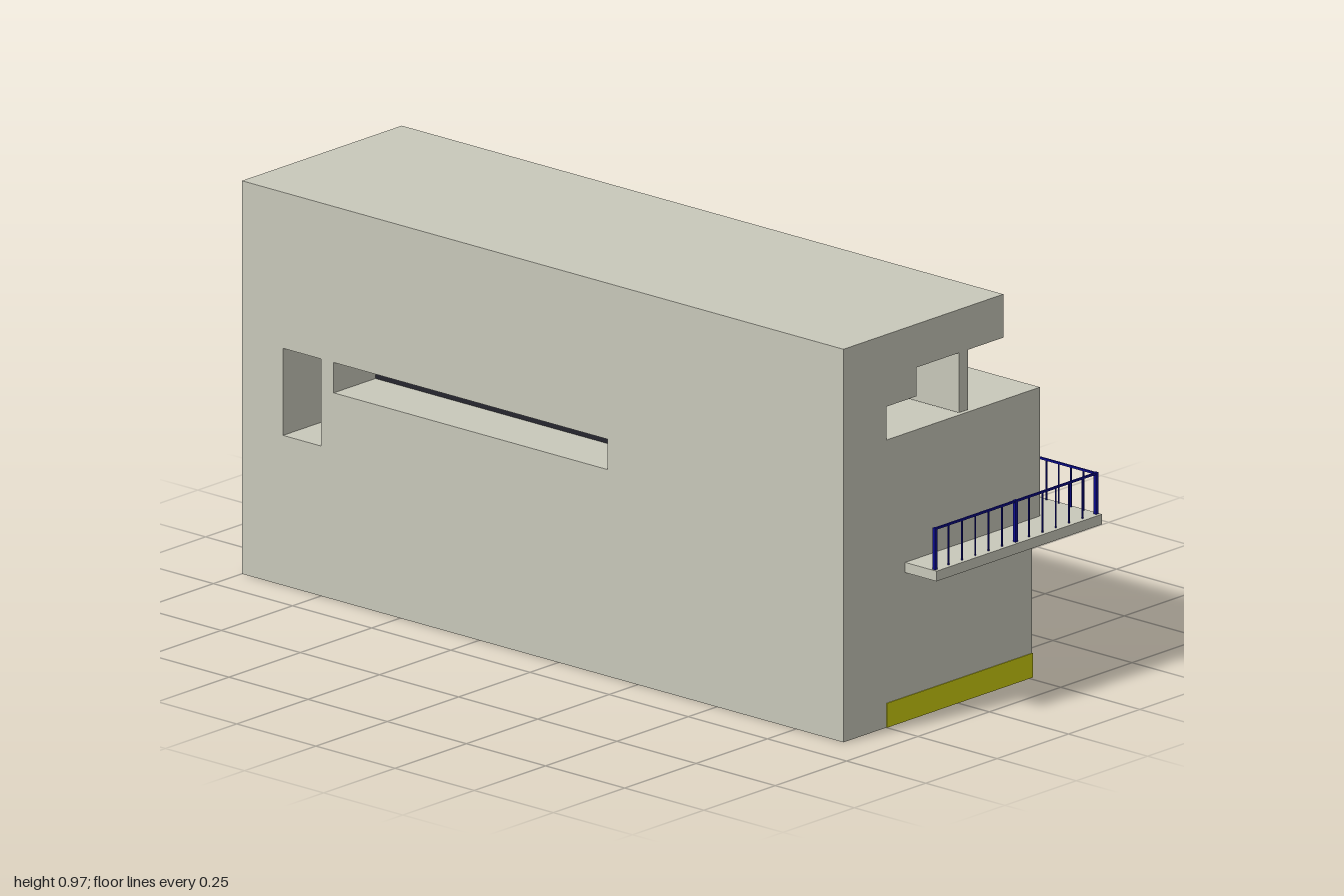
import * as THREE from 'three';

const mat = (color) => new THREE.MeshStandardMaterial({ color });
const concrete = mat(0xc8c8ba), yellow = mat(0xcccc10), navy = mat(0x0c0c90), steel = mat(0x5c6098);
const glass = mat(0x8080cc), frame = mat(0x26262e), doorPaint = mat(0x8c7a8c);

export function createModel() {
  const root = new THREE.Group();

  const add = (parent, name, geo, material) => {
    const m = new THREE.Mesh(geo, material);
    m.name = name;
    parent.add(m);
    return m;
  };
  const group = (name) => {
    const g = new THREE.Group();
    g.name = name;
    root.add(g);
    return g;
  };
  // Box given by its limits on each axis
  const box = (parent, name, material, x0, x1, y0, y1, z0, z1) => {
    const g = new THREE.BoxGeometry(x1 - x0, y1 - y0, z1 - z0);
    g.translate((x0 + x1) / 2, (y0 + y1) / 2, (z0 + z1) / 2);
    return add(parent, name, g, material);
  };
  const shapeOf = (pts, holes = []) => {
    const toV = (p) => p.map(([a, b]) => new THREE.Vector2(a, b));
    const s = new THREE.Shape(toV(pts));
    holes.forEach((h) => s.holes.push(new THREE.Path(toV(h))));
    return s;
  };
  const rect = (a0, a1, b0, b1) => [[a0, b0], [a1, b0], [a1, b1], [a0, b1]];
  // Outline in (x, z), extruded downwards from y1 to y0
  const plan = (parent, name, material, y0, y1, pts, holes) => {
    const g = new THREE.ExtrudeGeometry(shapeOf(pts, holes), { depth: y1 - y0, bevelEnabled: false });
    g.rotateX(Math.PI / 2).translate(0, y1, 0);
    return add(parent, name, g, material);
  };
  // Outline in (z, y), extruded across x0..x1
  const side = (parent, name, material, x0, x1, pts, holes) => {
    const g = new THREE.ExtrudeGeometry(shapeOf(pts, holes), { depth: x1 - x0, bevelEnabled: false });
    g.rotateY(-Math.PI / 2).translate(x1, 0, 0);
    return add(parent, name, g, material);
  };
  // Square bar between two points
  const bar = (parent, name, material, a, b, t) => {
    const p = new THREE.Vector3(...a), q = new THREE.Vector3(...b);
    const m = add(parent, name, new THREE.BoxGeometry(t, t, p.distanceTo(q)), material);
    m.position.copy(p).add(q).multiplyScalar(0.5);
    m.lookAt(q);
    return m;
  };

  // Tall wall with door and window openings, then the stepped roof and its beam
  const shelter = group('shelter');
  side(shelter, 'sideWall', concrete, -0.4, -0.25, rect(-1, 0.9, 0, 0.97),
    [rect(-0.87, -0.75, 0.37, 0.585), rect(-0.71, 0.155, 0.51, 0.585)]);
  box(shelter, 'roofSlab', concrete, -0.25, 0.16, 0.863, 0.97, -1, 0.9);
  box(shelter, 'roofStep', concrete, -0.25, -0.145, 0.792, 0.863, -1, 0.9);
  box(shelter, 'roofBeam', concrete, 0.005, 0.037, 0.715, 0.863, -1, 0.9);
  for (const z of [-0.922, 0.165, 0.345])
    box(shelter, 'roofColumn', concrete, 0.005, 0.037, 0.37, 0.715, z - 0.015, z + 0.015);

  // Lower storey, open underneath
  const lower = group('lowerStorey');
  const outline = [[-0.25, -1], [0.07, -1], [0.07, 0.37], [0.26, 0.37], [0.26, 0.9], [-0.25, 0.9]];
  const inner = [[-0.249, -0.99], [0.06, -0.99], [0.06, 0.38], [0.25, 0.38], [0.25, 0.89], [-0.249, 0.89]];
  plan(lower, 'lowerWalls', concrete, 0, 0.342, outline, [inner]);
  plan(lower, 'deck', concrete, 0.342, 0.37, outline);
  box(lower, 'deckEdge', concrete, 0.07, 0.076, 0.345, 0.37, -1, 0.37);

  // Painted skirting
  const e = 0.002;
  box(lower, 'skirting', yellow, 0.07, 0.07 + e, 0, 0.06, -1, 0.37);
  box(lower, 'skirting', yellow, 0.07, 0.26 + e, 0, 0.06, 0.37 - e, 0.37);
  box(lower, 'skirting', yellow, 0.26, 0.26 + e, 0, 0.06, 0.37, 0.9);
  box(lower, 'skirting', yellow, -0.25, 0.26 + e, 0, 0.06, 0.9, 0.9 + e);

  // Upper room and balcony
  const upper = group('upperStorey');
  box(upper, 'room', concrete, -0.25, 0.287, 0.37, 0.71, 0.59, 0.9 + e / 2);
  plan(upper, 'balconySlab', concrete, 0.367, 0.392,
    [[-0.25, 0.37], [0.395, 0.37], [0.395, 1], [-0.185, 1], [-0.185, 0.9], [-0.25, 0.9]]);

  // Windows and doors, all facing +x
  const makeWindow = (x, y0, y1, z0, z1, panes) => {
    const g = group('window');
    box(g, 'windowFrame', frame, x - 0.004, x + 0.003, y0, y1, z0, z1);
    const w = (z1 - z0) / panes;
    for (let i = 0; i < panes; i++)
      box(g, 'pane', glass, x, x + 0.005, y0 + 0.006, y1 - 0.006, z0 + i * w + 0.003, z0 + (i + 1) * w - 0.003);
  };
  makeWindow(-0.25, 0.51, 0.585, -0.71, 0.155, 6);
  makeWindow(0.07, 0.15, 0.222, -0.49, -0.08, 4);
  makeWindow(0.287, 0.495, 0.58, 0.66, 0.85, 3);

  const makeDoor = (x, y, z) => {
    const g = group('door');
    box(g, 'doorPanel', doorPaint, x - 0.004, x + 0.005, y, y + 0.218, z - 0.06, z + 0.06);
    box(g, 'doorPane', glass, x, x + 0.007, y + 0.135, y + 0.175, z - 0.012, z + 0.012);
    box(g, 'doorHandle', frame, x, x + 0.012, y + 0.105, y + 0.112, z - 0.052, z - 0.042);
  };
  makeDoor(0.26, 0.002, 0.65);
  makeDoor(0.07, 0.002, -0.65);
  makeDoor(-0.25, 0.37, -0.81);

  // Railings: thick posts, a top rail and thin balusters
  const railing = (a, b, y, h, bays, perBay) => {
    const g = group('railing');
    const n = bays * perBay;
    bar(g, 'topRail', navy, [a[0], y + h, a[1]], [b[0], y + h, b[1]], 0.005);
    for (let i = 0; i <= n; i++) {
      const x = a[0] + ((b[0] - a[0]) * i) / n, z = a[1] + ((b[1] - a[1]) * i) / n;
      const post = i % perBay === 0;
      const t = post ? 0.004 : 0.0016;
      box(g, post ? 'post' : 'baluster', navy, x - t, x + t, y, y + h + (post ? 0.003 : 0), z - t, z + t);
    }
  };
  railing([-0.177, 0.988], [0.387, 0.988], 0.392, 0.1, 2, 6);
  railing([0.387, 0.988], [0.387, 0.4], 0.392, 0.1, 3, 5);
  railing([0.387, 0.4], [0.255, 0.4], 0.392, 0.1, 1, 3);
  railing([0.066, 0.33], [0.066, -0.98], 0.37, 0.103, 5, 5);
  railing([0.066, -0.98], [-0.245, -0.98], 0.37, 0.103, 1, 6);

  // Outside stair with a half landing; path of (z, y) along the walking line
  const stair = group('stair');
  const path = [[0.37, 0.375], [0.145, 0.205], [0.05, 0.205], [-0.185, 0.025]];
  const X0 = 0.115, X1 = 0.255;
  for (const x of [X0, X1 - 0.008]) {
    side(stair, 'stringer', steel, x, x + 0.008,
      [...path, ...path.map(([z, y]) => [z, Math.max(0, y - 0.032)]).reverse()]);
    const cx = x + 0.004;
    for (let i = 0; i < 3; i++) {
      const [[za, ya], [zb, yb]] = [path[i], path[i + 1]];
      for (const h of [0.035, 0.065, 0.095])
        bar(stair, 'handrail', steel, [cx, ya + h, za], [cx, yb + h, zb], 0.005);
      const n = i === 1 ? 1 : 3;
      for (let k = 0; k <= n; k++) {
        const z = za + ((zb - za) * k) / n, y = ya + ((yb - ya) * k) / n;
        bar(stair, 'stairPost', steel, [cx, y - 0.01, z], [cx, y + 0.097, z], 0.006);
      }
    }
    bar(stair, 'handrail', steel, [cx, 0.47, 0.37], [cx, 0.492, 0.4], 0.005);
  }
  box(stair, 'landing', steel, X0, X1, 0.19, 0.2, 0.05, 0.145);
  for (const [[za, ya], [zb, yb]] of [[path[0], path[1]], [path[2], path[3]]]) {
    const n = 8;
    for (let i = 0; i < n; i++) {
      const z = za + ((zb - za) * (i + 0.5)) / n, y = ya + ((yb - ya) * (i + 0.5)) / n;
      box(stair, 'tread', steel, X0, X1, y - 0.012, y - 0.006, z - 0.015, z + 0.015);
    }
  }
  // Stair supports
  for (const [z, top] of [[0.363, 0.367], [0.135, 0.19], [0.06, 0.19]]) {
    box(stair, 'support', steel, 0.232, 0.252, 0, top, z - 0.01, z + 0.01);
    box(stair, 'supportFoot', steel, 0.228, 0.256, 0, 0.005, z - 0.014, z + 0.014);
    box(stair, 'crossBeam', steel, X0, X1, top - 0.02, top, z - 0.008, z + 0.006);
  }
  return root;
}
